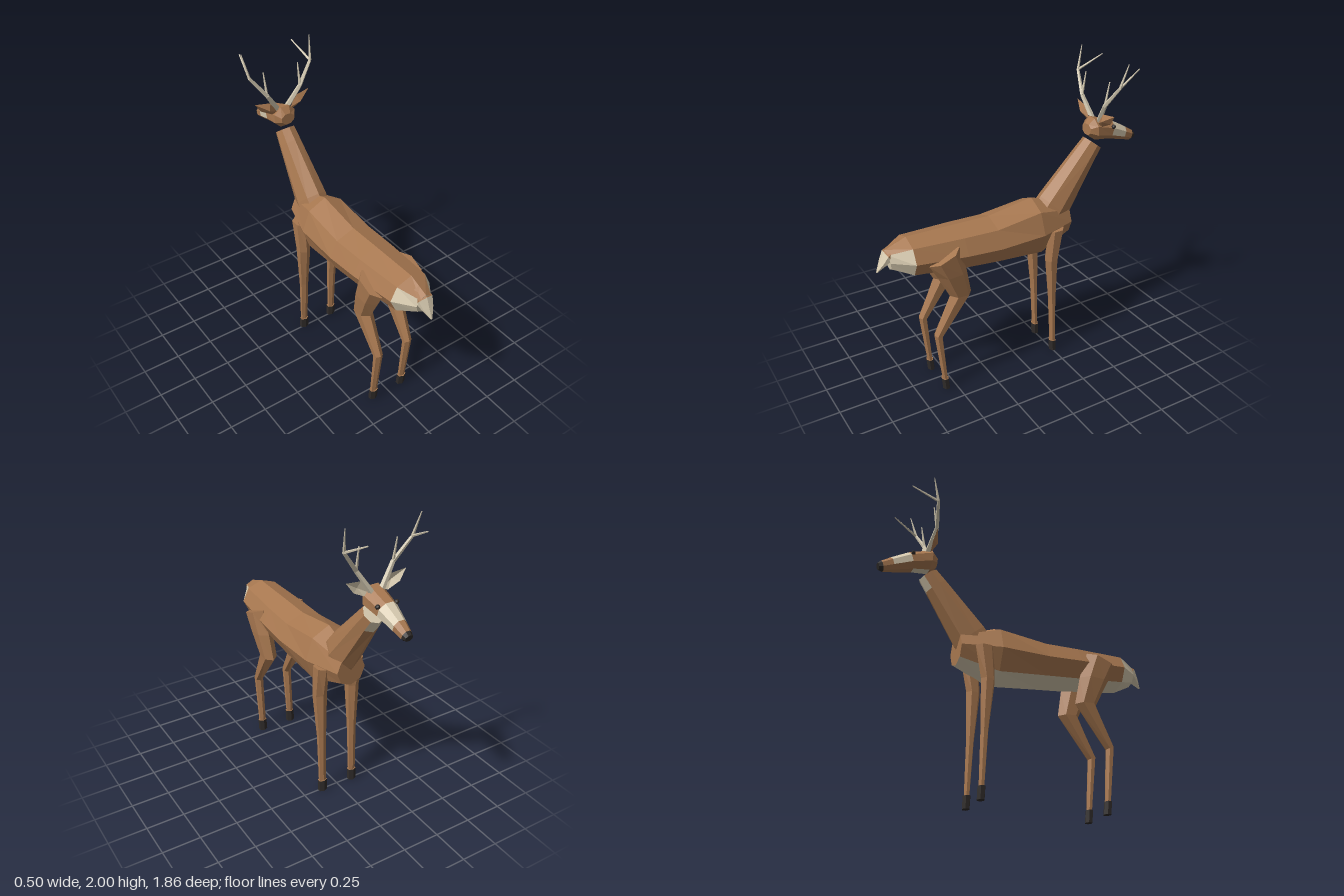
import * as THREE from 'three';

const material = (name, color) => {
  const m = new THREE.MeshStandardMaterial({ color, flatShading: true });
  m.name = name;
  return m;
};

export function createModel() {
  const root = new THREE.Group();
  const brown = material('brown coat', 0xa87850);
  const cream = material('cream fur', 0xd8cbb0);
  const dark = material('dark hoof', 0x2f2b29);
  const horn = material('antler bone', 0xcfc5ae);

  const add = (name, geo, mat, parent = root) => {
    const mesh = new THREE.Mesh(geo, mat);
    mesh.name = name;
    parent.add(mesh);
    return mesh;
  };

  // Skin rings of [zA, yA, zB, yB, halfWidth, xCentre]; A is the upper or rear pole, B the opposite one.
  // pick(segment, face) chooses a colour; segments -1 and 'end' are the caps.
  function loft(name, sections, sides, offset, pick, parent = root) {
    const angles = Array.from({ length: sides }, (_, i) => ((i + offset) / sides) * Math.PI * 2);
    const mc = Math.max(...angles.map((a) => Math.abs(Math.cos(a))));
    const ms = Math.max(...angles.map((a) => Math.abs(Math.sin(a))));
    const rings = sections.map(([zA, yA, zB, yB, w, xc = 0]) => angles.map((a) => {
      const t = (1 - Math.cos(a) / mc) / 2;
      return new THREE.Vector3(xc + (w * Math.sin(a)) / ms, yA + (yB - yA) * t, zA + (zB - zA) * t);
    }));
    const buckets = new Map();
    const tri = (mat, a, b, c) => {
      if (!buckets.has(mat)) buckets.set(mat, []);
      buckets.get(mat).push([a, b, c]);
    };
    const middle = (ring) => ring.reduce((s, p) => s.add(p), new THREE.Vector3()).divideScalar(sides);
    const last = rings.length - 1;
    const m0 = middle(rings[0]), m1 = middle(rings[last]);
    for (let i = 0; i < sides; i++) {
      const j = (i + 1) % sides;
      for (let s = 0; s < last; s++) {
        const mat = pick(s, i), p = rings[s], q = rings[s + 1];
        tri(mat, p[i], q[j], p[j]);
        tri(mat, p[i], q[i], q[j]);
      }
      tri(pick(-1, i), m0, rings[0][i], rings[0][j]);
      tri(pick('end', i), m1, rings[last][j], rings[last][i]);
    }
    // Turn every face outward using the signed volume
    let volume = 0;
    for (const list of buckets.values())
      for (const [a, b, c] of list) volume += a.clone().sub(m0).dot(b.clone().sub(m0).cross(c.clone().sub(m0)));
    const geo = new THREE.BufferGeometry();
    const points = [], mats = [];
    for (const [mat, list] of buckets) {
      geo.addGroup(points.length, list.length * 3, mats.length);
      mats.push(mat);
      for (const [a, b, c] of list) points.push(...(volume > 0 ? [a, b, c] : [a, c, b]));
    }
    geo.setFromPoints(points);
    geo.computeVertexNormals();
    return add(name, geo, mats, parent);
  }

  // Body: cream belly and rump, brown back
  loft('body', [
    [0.865, 1.06, 0.845, 0.92, 0.055],
    [0.73, 1.11, 0.73, 0.86, 0.145],
    [0.40, 1.105, 0.40, 0.815, 0.17],
    [0.17, 1.1, 0.17, 0.79, 0.175],
    [-0.14, 1.15, -0.15, 0.75, 0.17],
    [-0.39, 1.06, -0.39, 0.85, 0.10],
  ], 8, 0, (s, i) => {
    const top = i === 0 || i === 7, belly = i === 3 || i === 4;
    if (s === -1) return cream;
    if (s === 'end') return brown;
    if (s === 0) return top ? brown : cream;
    return belly ? cream : brown;
  });

  // Neck with a cream throat patch
  loft('neck', [
    [-0.13, 1.04, -0.33, 0.87, 0.10],
    [-0.21, 1.14, -0.40, 0.97, 0.10],
    [-0.475, 1.41, -0.60, 1.31, 0.073],
    [-0.54, 1.475, -0.65, 1.39, 0.065],
  ], 8, 0, (s, i) => (s === 'end' || (s === 2 && (i === 3 || i === 4)) ? cream : brown));

  // Head: cream muzzle band, dark nose
  loft('head', [
    [-0.55, 1.565, -0.548, 1.495, 0.045],
    [-0.585, 1.605, -0.595, 1.46, 0.075],
    [-0.735, 1.555, -0.70, 1.445, 0.062],
    [-0.845, 1.495, -0.82, 1.412, 0.043],
    [-0.905, 1.458, -0.885, 1.395, 0.032],
    [-0.925, 1.44, -0.912, 1.4, 0.024],
  ], 8, 0.5, (s, i) => {
    if (s === 'end' || s === 4) return dark;
    if (s === 2 && i !== 2 && i !== 3 && i !== 4) return cream;
    return s === 1 && i === 3 ? cream : brown;
  });

  // Tail
  loft('tail', [
    [0.80, 1.085, 0.79, 1.02, 0.035],
    [0.875, 1.05, 0.835, 0.99, 0.05],
    [0.90, 0.99, 0.875, 0.965, 0.036],
    [0.93, 0.925, 0.925, 0.92, 0.005],
  ], 6, 0, (s) => (s === 0 || s === -1 ? brown : cream));

  const hoofed = (count) => (s) => (s === count || s === 'end' ? dark : brown);

  for (const side of [1, -1]) {
    const label = side > 0 ? 'left' : 'right';

    // Legs, each ending in a hoof
    loft(label + 'ForeLeg', [
      [-0.19, 0.95, -0.31, 0.95, 0.04, side * 0.125],
      [-0.18, 0.73, -0.27, 0.74, 0.04, side * 0.12],
      [-0.215, 0.42, -0.265, 0.42, 0.027, side * 0.115],
      [-0.235, 0.08, -0.27, 0.08, 0.022, side * 0.115],
      [-0.228, 0.08, -0.277, 0.08, 0.027, side * 0.115],
      [-0.232, 0, -0.28, 0, 0.027, side * 0.115],
    ], 6, 0, hoofed(4));
    loft(label + 'HindLeg', [
      [0.65, 0.95, 0.45, 1.03, 0.05, side * 0.145],
      [0.595, 0.85, 0.40, 0.86, 0.055, side * 0.13],
      [0.515, 0.69, 0.367, 0.68, 0.045, side * 0.118],
      [0.63, 0.43, 0.575, 0.41, 0.027, side * 0.115],
      [0.588, 0.08, 0.553, 0.08, 0.022, side * 0.115],
      [0.595, 0.08, 0.548, 0.08, 0.027, side * 0.115],
      [0.588, 0, 0.54, 0, 0.027, side * 0.115],
    ], 6, 0, hoofed(5));

    // Eye
    const eye = add(label + 'Eye', new THREE.IcosahedronGeometry(0.016, 0), dark);
    eye.position.set(side * 0.063, 1.535, -0.715);

    // Ear: folded leaf with brown back and cream inner face
    const ear = new THREE.Group();
    ear.name = label + 'Ear';
    root.add(ear);
    const rim = [[0.05, 1.575, -0.60], [0.095, 1.65, -0.60], [0.20, 1.665, -0.61], [0.155, 1.60, -0.62], [0.08, 1.56, -0.61]]
      .map(([x, y, z]) => new THREE.Vector3(x * side, y, z));
    const face = (name, depth, mat, flip) => {
      const hub = new THREE.Vector3(side * 0.115, 1.61, depth), pts = [];
      rim.forEach((p, i) => {
        const q = rim[(i + 1) % rim.length];
        pts.push(hub, ...(flip ? [q, p] : [p, q]));
      });
      const geo = new THREE.BufferGeometry().setFromPoints(pts);
      geo.computeVertexNormals();
      add(name, geo, mat, ear);
    };
    face('earBack', -0.575, brown, side > 0);
    face('earInner', -0.59, cream, side < 0);

    // Antler: tapered beams and tines
    const antler = new THREE.Group();
    antler.name = label + 'Antler';
    root.add(antler);
    const beam = (name, a, b, r0, r1) => {
      const p = new THREE.Vector3(a[0] * side, a[1], a[2]), q = new THREE.Vector3(b[0] * side, b[1], b[2]);
      const d = q.clone().sub(p);
      const mesh = add(name, new THREE.CylinderGeometry(r1, r0, d.length(), 5), horn, antler);
      mesh.position.copy(p).add(q).multiplyScalar(0.5);
      mesh.quaternion.setFromUnitVectors(new THREE.Vector3(0, 1, 0), d.normalize());
    };
    const base = [0.035, 1.58, -0.615], fork = [0.122, 1.715, -0.59], crown = [0.222, 1.85, -0.62];
    beam('lowerBeam', base, fork, 0.019, 0.014);
    beam('upperBeam', fork, crown, 0.014, 0.01);
    beam('topTine', crown, [0.245, 2.0, -0.66], 0.01, 0.003);
    beam('forwardTine', crown, [0.19, 1.937, -0.785], 0.009, 0.004);
    beam('innerTine', fork, [0.125, 1.865, -0.615], 0.01, 0.004);
  }
  return root;
}
